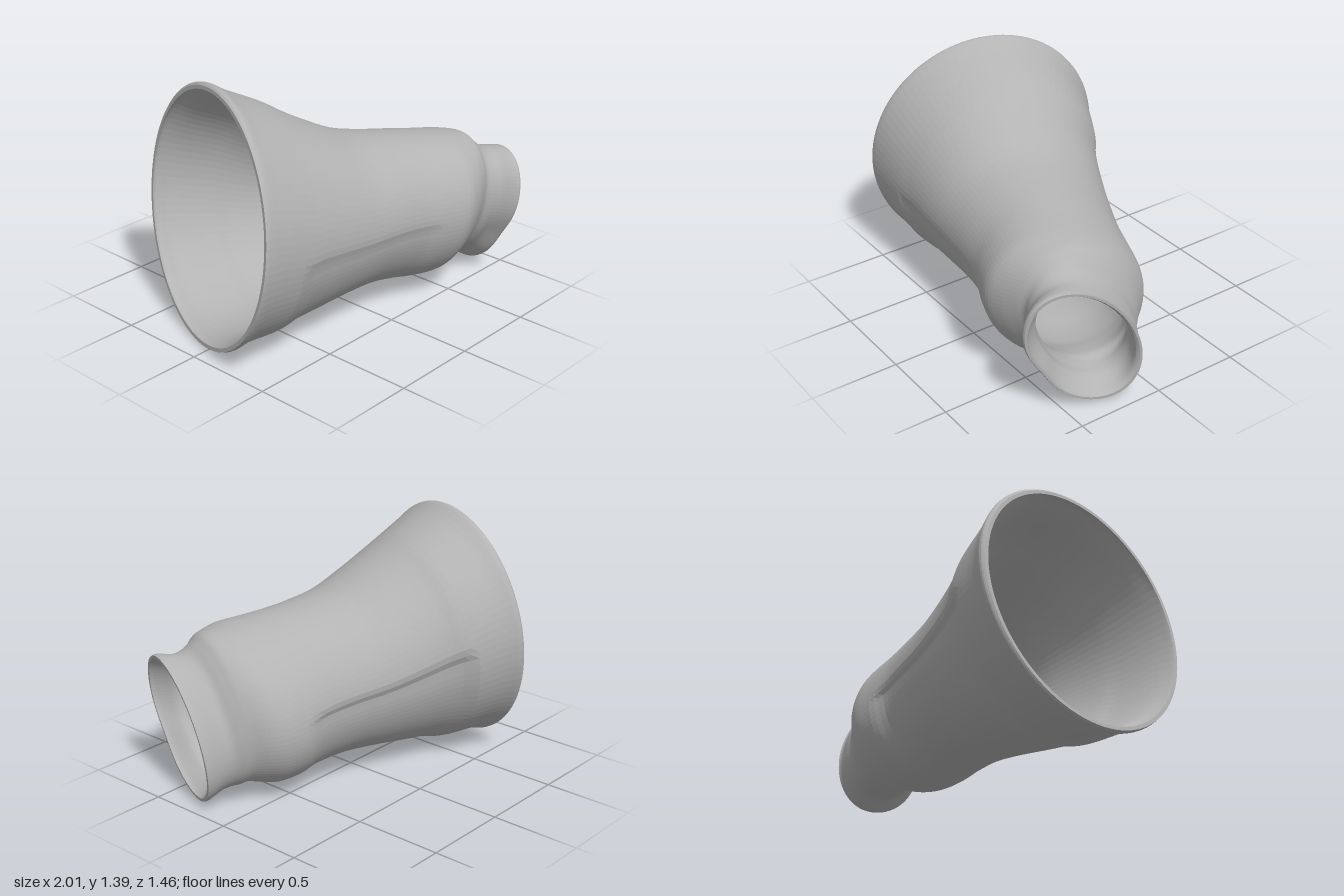
import * as THREE from 'three';

const { smoothstep } = THREE.MathUtils;

// Cross-sections along the tube: station, top y, bottom y, back z, front z, slant, wall
const SECTIONS = [
  [-0.915, 1.375, 0.01, -0.725, 0.53, 0, 0.02],
  [-0.885, 1.385, 0.0, -0.73, 0.535, 0, 0.03],
  [-0.79, 1.335, 0.02, -0.68, 0.535, 0, 0.035],
  [-0.58, 1.24, 0.02, -0.59, 0.535, 0, 0.035],
  [-0.47, 1.18, 0.045, -0.525, 0.535, 0.02, 0.035],
  [-0.33, 1.11, 0.06, -0.46, 0.54, 0.04, 0.035],
  [-0.1, 1.01, 0.085, -0.365, 0.55, 0.07, 0.04],
  [0.1, 0.965, 0.095, -0.285, 0.57, 0.1, 0.045],
  [0.28, 0.94, 0.075, -0.22, 0.6, 0.13, 0.055],
  [0.43, 0.92, 0.05, -0.185, 0.65, 0.17, 0.065],
  [0.56, 0.905, 0.045, -0.15, 0.69, 0.2, 0.075],
  [0.65, 0.89, 0.07, -0.1, 0.675, 0.23, 0.07],
  [0.73, 0.87, 0.09, -0.03, 0.64, 0.28, 0.06],
  [0.78, 0.83, 0.085, 0.01, 0.62, 0.33, 0.05],
  [0.83, 0.79, 0.08, 0.05, 0.635, 0.37, 0.045],
  [0.89, 0.77, 0.07, 0.075, 0.66, 0.4, 0.04],
  [0.97, 0.77, 0.025, 0.11, 0.725, 0.43, 0.03],
  [0.997, 0.765, 0.025, 0.115, 0.73, 0.43, 0.015],
];
const SIDES = 96;
const STEPS = 4;

// Smooth blend between neighbouring sections
function sectionAt(k) {
  const last = SECTIONS.length - 1;
  const i = Math.min(Math.floor(k), last - 1);
  const f = k - i;
  const row = (n) => SECTIONS[Math.min(Math.max(n, 0), last)];
  return row(i).map((b, c) => {
    const d = row(i + 1)[c];
    const m0 = (d - row(i - 1)[c]) / 2;
    const m1 = (row(i + 2)[c] - b) / 2;
    const f2 = f * f, f3 = f2 * f;
    return b * (2 * f3 - 3 * f2 + 1) + m0 * (f3 - 2 * f2 + f) + d * (3 * f2 - 2 * f3) + m1 * (f3 - f2);
  });
}

// Shallow hollows under a sharp ledge on the back and on the front
function hollow(s, t) {
  const along = smoothstep(s, -0.64, -0.54) * (1 - smoothstep(s, 0.3, 0.44));
  const back = smoothstep(t, 2.96, 3.1) * (1 - smoothstep(t, 3.4, 4.5));
  const front = (1 - smoothstep(t, 6.1, 6.25)) * smoothstep(t, 5.0, 5.9);
  return along * (0.05 * back + 0.025 * front);
}

// One slanted oval ring lying in a tilted plane
function ring([s, top, bottom, back, front, slant, wall], inner) {
  const inset = inner ? wall : 0;
  const ry = (top - bottom) / 2 - inset, rz = (front - back) / 2 - inset;
  const lip = smoothstep(s, 0.8, 0.95);
  const points = [];
  for (let i = 0; i < SIDES; i++) {
    const t = (i / SIDES) * Math.PI * 2;
    // Dent in the lower front of the narrow lip
    let r = 1 - 0.08 * lip * Math.exp(-Math.pow((t - 5.5) / 0.35, 2));
    if (!inner) r -= hollow(s, t);
    const z = (front + back) / 2 + rz * r * Math.cos(t);
    const y = (top + bottom) / 2 + ry * r * Math.sin(t + slant);
    points.push(new THREE.Vector3(s - 0.3 * z + 0.12 * y - 0.03 * lip * (z - 0.12), y, z));
  }
  return points;
}

// Surface stretched over a list of rings
function skin(name, rings, material) {
  const index = [];
  for (let j = 0; j < rings.length - 1; j++) {
    for (let i = 0; i < SIDES; i++) {
      const n = (i + 1) % SIDES;
      const a = j * SIDES + i, b = a + SIDES, c = j * SIDES + n, d = c + SIDES;
      index.push(a, b, c, b, d, c);
    }
  }
  const geometry = new THREE.BufferGeometry().setFromPoints(rings.flat());
  geometry.setIndex(index);
  geometry.computeVertexNormals();
  const mesh = new THREE.Mesh(geometry, material);
  mesh.name = name;
  return mesh;
}

export function createModel() {
  const grey = new THREE.MeshStandardMaterial({ color: 0xb3b3b3, flatShading: true });
  grey.name = 'plain grey';

  const outer = [], inner = [];
  for (let k = 0; k <= (SECTIONS.length - 1) * STEPS; k++) {
    const section = sectionAt(k / STEPS);
    outer.push(ring(section, false));
    inner.unshift(ring(section, true));
  }
  const end = outer.length - 1;

  const model = new THREE.Group();
  model.name = 'hollowTaperedTube';
  model.add(
    skin('outerShell', outer, grey),
    skin('narrowRim', [outer[end], inner[0]], grey),
    skin('innerWall', inner, grey),
    skin('wideRim', [inner[end], outer[0]], grey),
  );
  return model;
}
